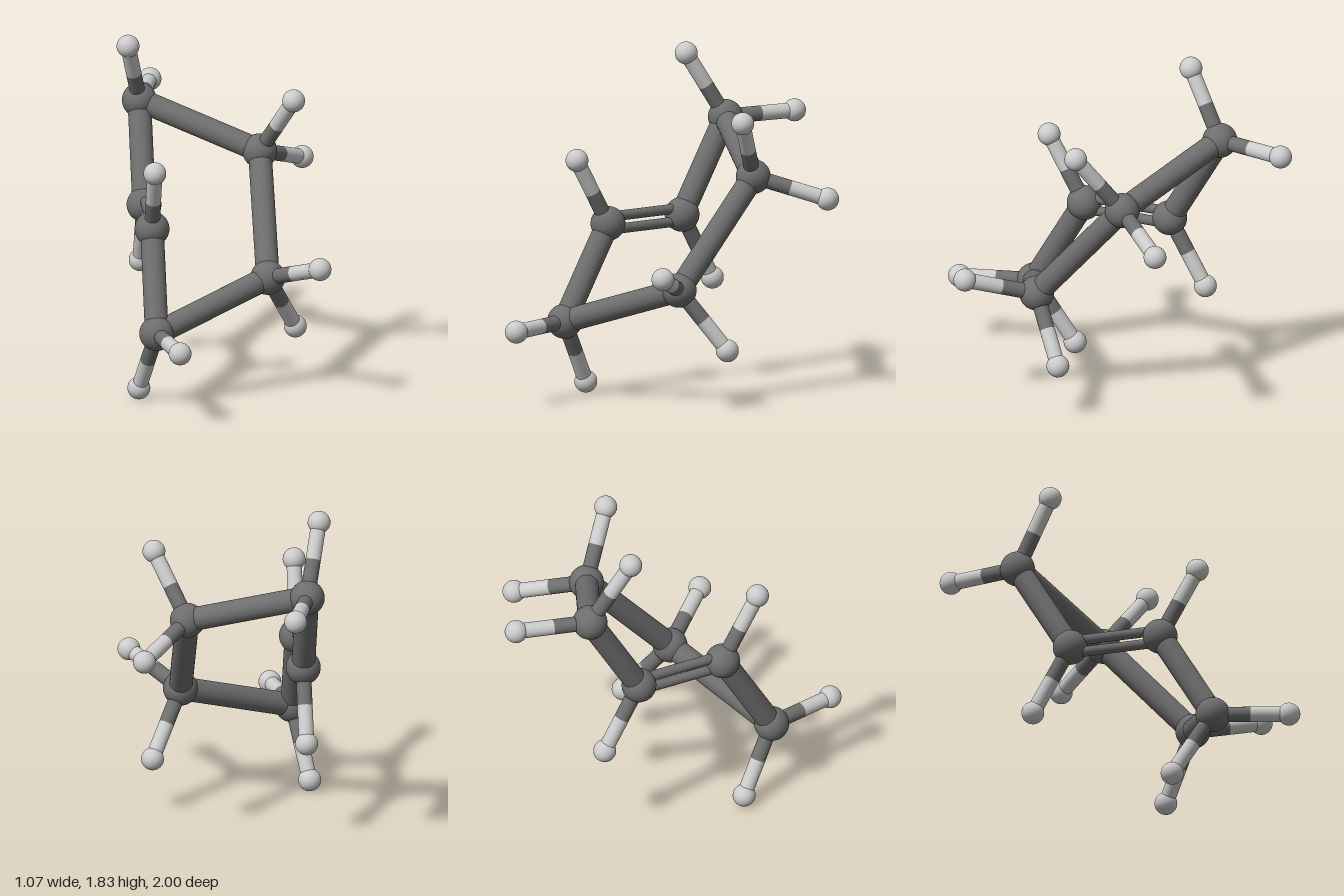
import * as THREE from 'three';

export function createModel() {
  const group = new THREE.Group();
  const dark = new THREE.MeshStandardMaterial({ color: 0x6e6e6e });
  const light = new THREE.MeshStandardMaterial({ color: 0xcccccc });
  const centreY = 0.916;
  const largeBall = new THREE.SphereGeometry(0.093, 40, 28);
  const smallBall = new THREE.SphereGeometry(0.061, 32, 24);
  const up = new THREE.Vector3(0, 1, 0);

  function ball(name, geometry, material, at) {
    const mesh = new THREE.Mesh(geometry, material);
    mesh.name = name;
    mesh.position.copy(at);
    group.add(mesh);
  }

  function rod(name, a, b, radius, material) {
    const dir = b.clone().sub(a);
    const mesh = new THREE.Mesh(new THREE.CylinderGeometry(radius, radius, dir.length(), 32), material);
    mesh.name = name;
    mesh.position.copy(a).add(b).multiplyScalar(0.5);
    mesh.quaternion.setFromUnitVectors(up, dir.normalize());
    group.add(mesh);
  }

  // Half of the ring, heights relative to the centre: large ball and its small balls
  const half = [
    { at: [-0.4, 0, -0.25], small: [[-0.403, -0.36, -0.457]] },
    { at: [-0.4, 0.5, -0.543], small: [[-0.478, 0.853, -0.339], [-0.309, 0.508, -0.939]] },
    { at: [0.22, 0.283, -0.25], small: [[0.384, 0.608, -0.052], [0.473, 0.163, -0.556]] },
  ];

  // The other half is the same turned 180 degrees about the x axis
  const ends = [1, -1].map((s) => {
    const place = ([x, y, z]) => new THREE.Vector3(x, centreY + s * y, s * z);
    const ring = half.map(({ at, small }) => {
      const c = place(at);
      ball('carbonBall', largeBall, dark, c);
      for (const p of small) {
        const h = place(p);
        const mid = c.clone().lerp(h, 0.5);
        ball('hydrogenBall', smallBall, light, h);
        rod('innerHalfBond', c, mid, 0.041, dark);
        rod('outerHalfBond', mid, h, 0.041, light);
      }
      return c;
    });
    rod('ringBond', ring[0], ring[1], 0.063, dark);
    rod('ringBond', ring[1], ring[2], 0.063, dark);
    return ring;
  });

  // Bond joining the halves, and the double bond opposite it
  rod('ringBond', ends[0][2], ends[1][2], 0.063, dark);
  for (const dy of [-0.035, 0.035]) {
    const shift = new THREE.Vector3(0, dy, 0);
    rod('doubleBondRod', ends[0][0].clone().add(shift), ends[1][0].clone().add(shift), 0.027, dark);
  }
  return group;
}
